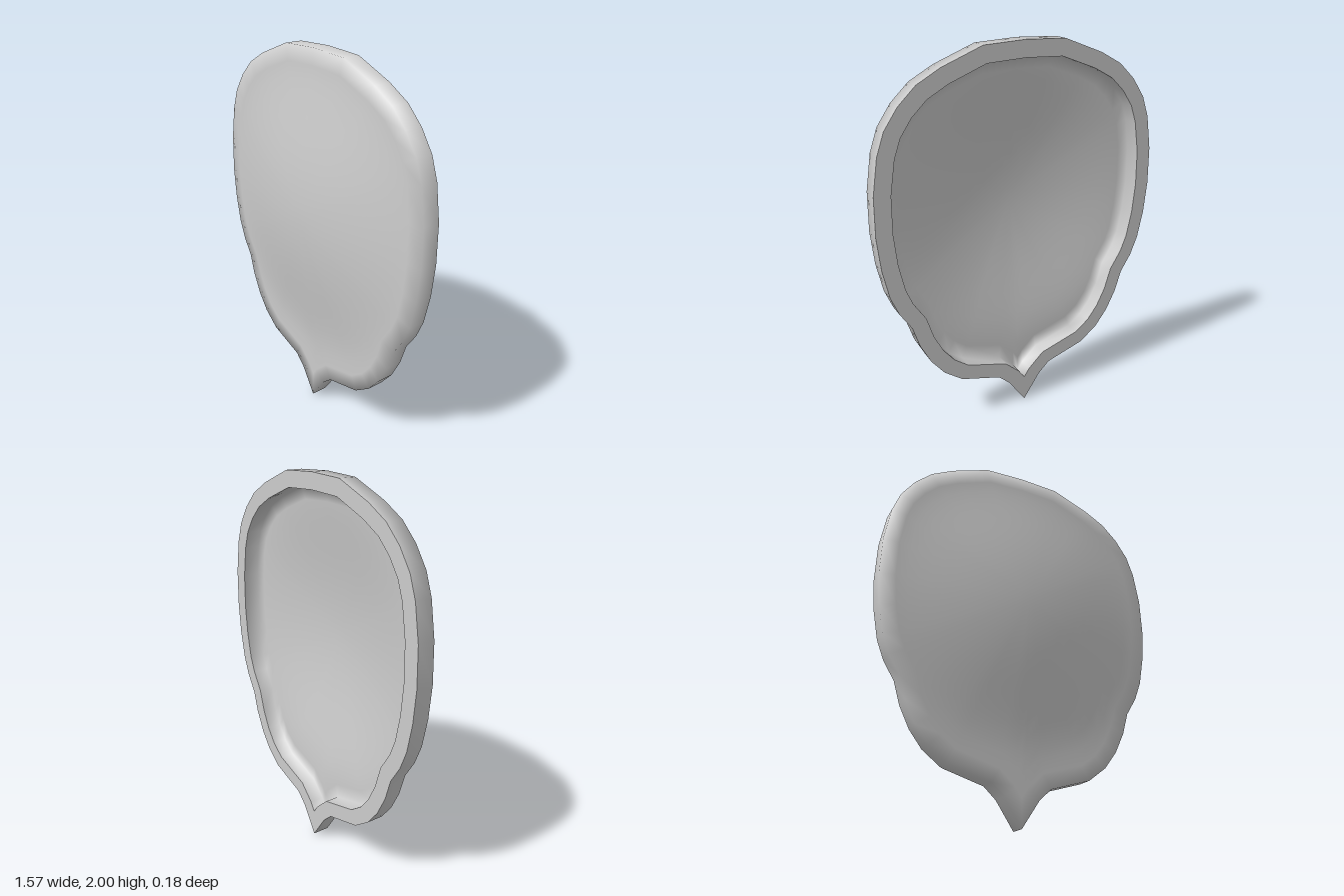
import * as THREE from 'three';

// Right half of the outline, from the bottom tip to the top centre
const HALF = [
  [0, 0], [0.095, 0.14], [0.16, 0.2], [0.38, 0.265], [0.48, 0.34], [0.55, 0.43], [0.605, 0.54],
  [0.64, 0.655], [0.7, 0.75], [0.74, 0.85], [0.77, 1.0], [0.785, 1.17], [0.78, 1.37], [0.75, 1.55],
  [0.71, 1.66], [0.64, 1.76], [0.55, 1.845], [0.43, 1.91], [0.22, 1.99], [0, 2],
];
const CENTRE = [0, 1.17];
const BACK = -0.09;   // plane of the back rim
const RIM = 0.083;    // rim width
const SKIN = 0.012;   // thickness of the domed face

const outline = [...HALF, ...HALF.slice(1, -1).reverse().map(([x, y]) => [-x, y])];

// Moves a counter-clockwise loop inwards with mitred corners
function inset(loop, w) {
  const n = loop.length;
  const normal = (a, b) => new THREE.Vector2(a[1] - b[1], b[0] - a[0]).normalize();
  return loop.map((p, i) => {
    const n1 = normal(loop[(i + n - 1) % n], p);
    const n2 = normal(p, loop[(i + 1) % n]);
    const m = n1.clone().add(n2).normalize();
    const k = w / m.dot(n1);
    return [p[0] + m.x * k, p[1] + m.y * k];
  });
}

// Height of the bulging face at a point
function dome(x, y) {
  const d = Math.hypot(x - CENTRE[0], y - CENTRE[1]) / 0.83;
  return 0.091 * Math.pow(Math.max(0, 1 - d * d), 1.75);
}

const flat = (loop) => loop.map(([x, y]) => [x, y, BACK]);
const domed = (loop, drop) => loop.map(([x, y]) => [x, y, dome(x, y) - drop]);

// Rings of a domed sheet shrinking from a loop to the centre
function sheet(loop, drop) {
  const rings = [];
  for (let i = 0; i <= 12; i++) {
    const t = 1 - i / 12;
    rings.push(domed(loop.map(([x, y]) => [x * t, CENTRE[1] + (y - CENTRE[1]) * t]), drop));
  }
  return rings;
}

// Skins closed rings; the last ring may collapse into one point
function loft(name, rings, flip = false) {
  const n = rings[0].length;
  const last = rings[rings.length - 1];
  const collapsed = Math.hypot(last[0][0] - last[1][0], last[0][1] - last[1][1]) < 1e-6;
  const index = [];
  const tri = (a, b, c) => index.push(...(flip ? [a, c, b] : [a, b, c]));
  for (let r = 0; r < rings.length - 1; r++) {
    const tip = collapsed && r === rings.length - 2;
    for (let i = 0; i < n; i++) {
      const j = (i + 1) % n;
      const a = r * n + i, b = r * n + j;
      if (tip) {
        tri(a, b, (r + 1) * n);
      } else {
        tri(a, b, b + n);
        tri(a, b + n, a + n);
      }
    }
  }
  const geo = new THREE.BufferGeometry();
  geo.setAttribute('position', new THREE.Float32BufferAttribute(rings.flat(2), 3));
  geo.setIndex(index);
  geo.computeVertexNormals();
  const mesh = new THREE.Mesh(geo, new THREE.MeshStandardMaterial({ color: 0xcccccc }));
  mesh.name = name;
  return mesh;
}

export function createModel() {
  const group = new THREE.Group();
  group.name = 'domedShell';
  const inner = inset(outline, RIM);

  // Outer wall running smoothly into the bulging front
  group.add(loft('outerShell', [flat(outline), domed(outline, 0), ...sheet(inner, 0)]));
  // Flat band around the back
  group.add(loft('backRim', [flat(outline), flat(inner)], true));
  // Hollow inside: short wall, then the back of the dome
  group.add(loft('innerShell', [flat(inner), ...sheet(inner, SKIN)], true));
  return group;
}
